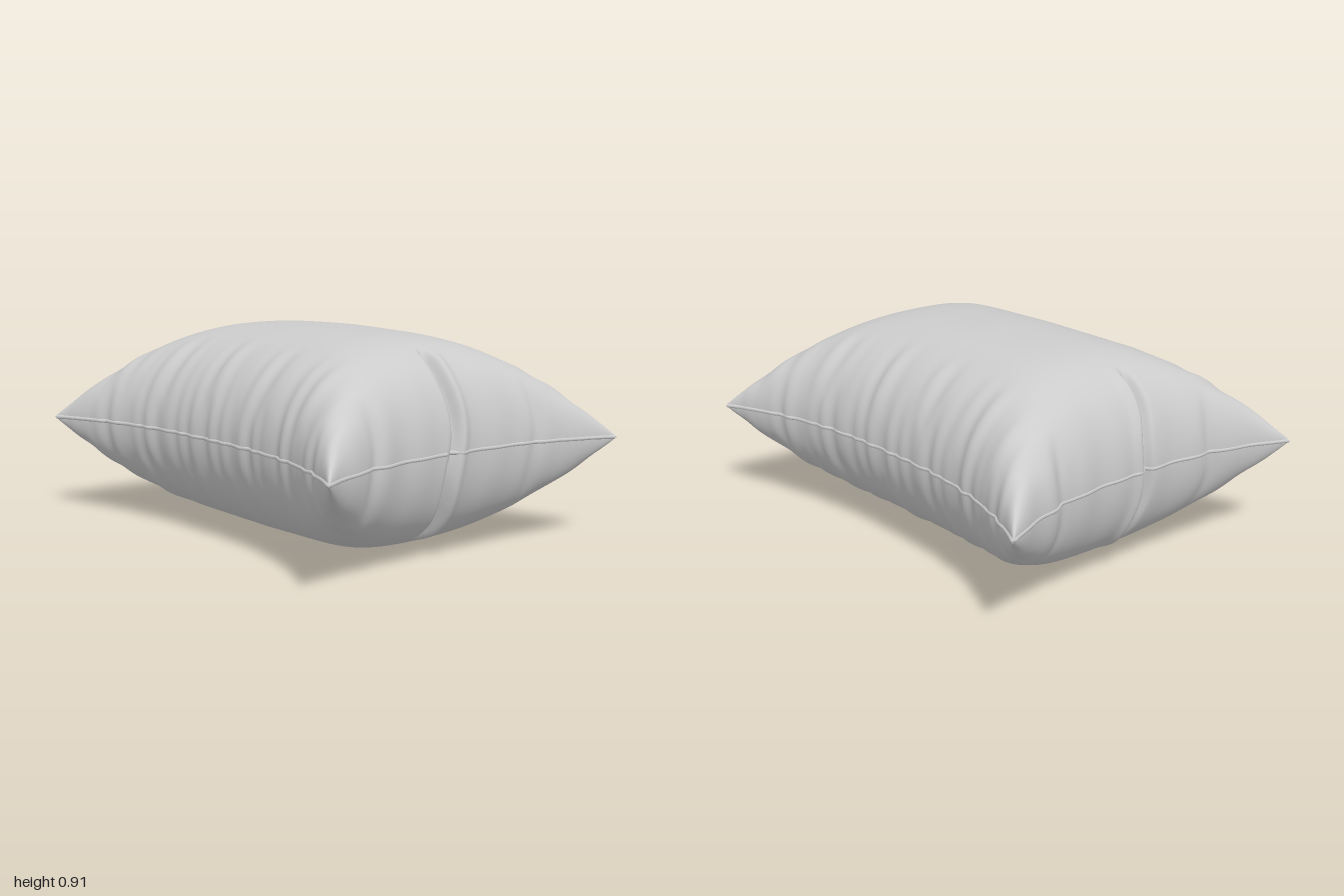
import * as THREE from 'three';

const MID = 0.455; // height of the seam, and half the thickness
const NU = 190, NV = 160;

const bell = (x, w) => Math.exp(-((x / w) ** 2));
const smooth = THREE.MathUtils.smoothstep;
// irregular ripple, used for the puckered long edges
const ripple = (z, p) => 0.5 * Math.sin(58 * z + p) + 0.35 * Math.sin(37 * z + 2.1 * p + 1) + 0.25 * Math.sin(83 * z + p * 3);

// seam folds on the two short ends: end (+1 front), x on top, x below, width, depth, reach
const folds = [
  [1, 0.0, -0.03, 0.018, 0.04, 0.70],
  [-1, -0.09, -0.06, 0.018, 0.04, 0.74],
  [1, 0.43, 0.42, 0.03, 0.016, 0.86],
  [1, -0.46, -0.47, 0.03, 0.014, 0.88],
  [-1, 0.42, 0.43, 0.03, 0.014, 0.88],
  [-1, -0.43, -0.42, 0.03, 0.014, 0.88],
];

// point of the cushion cover for u, v in -1..1; side is +1 for the top, -1 for the underside
function cover(u, v, side, target) {
  const a = Math.abs(u), b = Math.abs(v);
  let x = u * (0.59 + 0.2 * b ** 2.6);
  let z = v * (0.84 + 0.16 * a ** 2.5);
  let h = MID * Math.sqrt(Math.max(0, 1 - a ** 2.5)) * Math.sqrt(Math.max(0, 1 - b ** 5.5));
  h *= 1 - 0.06 * b ** 1.3;

  // puckers fanning in from the long edges
  const phase = u > 0 ? 0.6 : 2.9;
  const calm = 1 - b ** 6;
  x += Math.sign(u) * 0.008 * ripple(z, phase) * a ** 8 * calm;
  const band = smooth(a, 0.5, 0.85) * (1 - smooth(a, 0.93, 1));
  h += 0.011 * ripple(z * 0.8, phase + side) * band * calm;

  // slight waviness of the short edges
  z += Math.sign(v) * 0.004 * Math.sin(31 * x + v) * b ** 10 * (1 - a ** 6);

  // pinched folds in the short ends
  for (const [end, xTop, xLow, w, depth, reach] of folds) {
    if (end * v <= 0) continue;
    const rise = h / MID;
    const centre = THREE.MathUtils.lerp((xTop + xLow) / 2, side > 0 ? xTop : xLow, Math.min(1, rise * 2))
      + 0.008 * Math.sin(rise * 7) * side;
    const k = smooth(b, reach, reach + 0.14);
    const d = x - centre;
    const dip = depth * k * (bell(d, w) - 0.35 * bell(d - 2.2 * w, w * 1.5));
    z -= end * dip * 0.8;
    h -= dip * 0.6 * Math.min(1, rise * 3);
  }
  return target.set(x, MID + side * Math.max(0, h), z);
}

// spacing that gathers rows at the edges and near the middle fold
const spread = (t, k) => Math.sin((Math.PI / 2) * (t - (k * Math.sin(Math.PI * t)) / Math.PI));

function halfCover(side) {
  const pos = [], index = [], p = new THREE.Vector3();
  for (let j = 0; j <= NV; j++) {
    for (let i = 0; i <= NU; i++) {
      cover(spread((2 * i) / NU - 1, 0.4), spread((2 * j) / NV - 1, 0), side, p);
      pos.push(p.x, p.y, p.z);
    }
  }
  for (let j = 0; j < NV; j++) {
    for (let i = 0; i < NU; i++) {
      const a = j * (NU + 1) + i, b = a + 1, c = a + NU + 1, d = c + 1;
      if (side > 0) index.push(a, c, b, b, c, d);
      else index.push(a, b, c, b, d, c);
    }
  }
  const g = new THREE.BufferGeometry();
  g.setAttribute('position', new THREE.Float32BufferAttribute(pos, 3));
  g.setIndex(index);
  g.computeVertexNormals();
  return g;
}

// closed path that follows the rim where the two halves meet
function rimCurve() {
  const pts = [], n = 60;
  const corners = [[-1, 1], [1, 1], [1, -1], [-1, -1]];
  corners.forEach(([u0, v0], k) => {
    const [u1, v1] = corners[(k + 1) % 4];
    for (let i = 0; i < n; i++) {
      const t = i / n;
      const p = cover(u0 + (u1 - u0) * t, v0 + (v1 - v0) * t, 1, new THREE.Vector3());
      p.x *= 0.994;
      p.z *= 0.994;
      pts.push(p);
    }
  });
  return new THREE.CatmullRomCurve3(pts, true);
}

export function createModel() {
  const group = new THREE.Group();
  group.name = 'pillow';
  const material = new THREE.MeshStandardMaterial({ color: 0xcccccc, side: THREE.DoubleSide });
  const add = (name, geometry) => {
    const mesh = new THREE.Mesh(geometry, material);
    mesh.name = name;
    group.add(mesh);
  };
  add('topCover', halfCover(1));
  add('bottomCover', halfCover(-1));
  // rolled seam around the rim
  add('seam', new THREE.TubeGeometry(rimCurve(), 480, 0.009, 8, true));
  return group;
}
